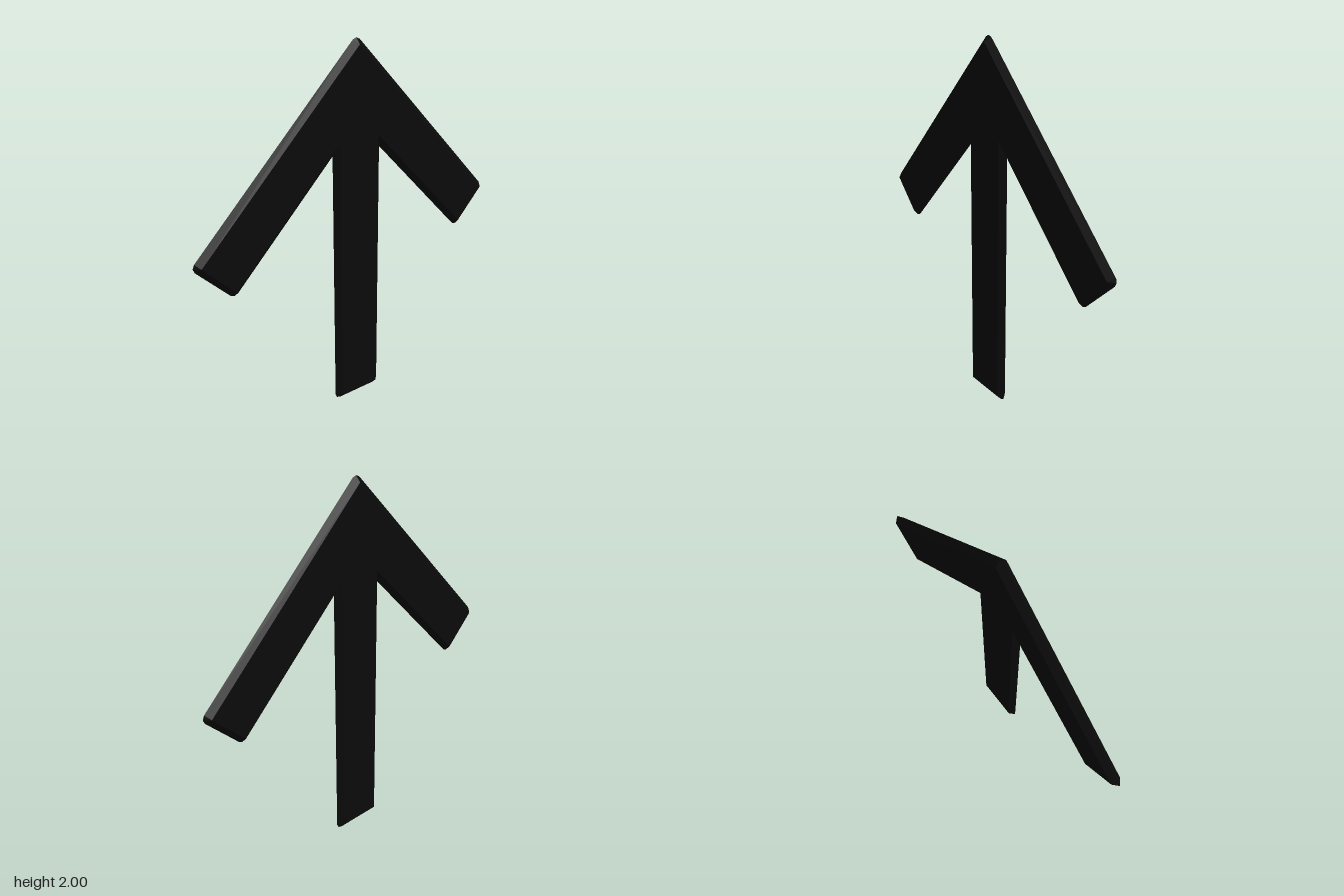
import * as THREE from 'three';

const BEVEL = 0.03; // how far the rim reaches beyond the flat faces
const HALF = 0.028; // half thickness

// Flat face outline, counter-clockwise: right half, then mirrored
function faceOutline() {
  const half = [[0.12, 0.03], [0.12, 1.51], [0.745, 0.885], [0.915, 1.055]];
  const mirrored = half.map(([x, y]) => [-x, y]).reverse();
  return [...half, [0, 1.97], ...mirrored].map(([x, y]) => new THREE.Vector2(x, y));
}

// Pairs of face point and rim point; outward corners get a rounded rim
function rimPairs(face) {
  const pairs = [];
  const n = face.length;
  face.forEach((p, i) => {
    const a = p.clone().sub(face[(i + n - 1) % n]).normalize();
    const b = face[(i + 1) % n].clone().sub(p).normalize();
    const na = new THREE.Vector2(a.y, -a.x);
    const nb = new THREE.Vector2(b.y, -b.x);
    const mid = na.clone().add(nb).normalize();
    const offsets = a.cross(b) > 0
      ? [na, mid, nb]
      : [mid.clone().divideScalar(mid.dot(na))];
    for (const o of offsets) {
      pairs.push({ inner: p, outer: p.clone().addScaledVector(o, BEVEL) });
    }
  });
  return pairs;
}

function arrowGeometry() {
  const face = faceOutline();
  const pairs = rimPairs(face);
  const caps = THREE.ShapeUtils.triangulateShape(face, []);
  const positions = [];

  for (const side of [1, -1]) {
    const at = (p, z) => [p.x, p.y, z * side];
    const tri = (a, b, c) => positions.push(...a, ...(side > 0 ? [...b, ...c] : [...c, ...b]));

    // Flat face
    for (const t of caps) tri(...t.map((k) => at(face[k], HALF)));

    // Sloping edge from the face down to the rim
    pairs.forEach((p, i) => {
      const q = pairs[(i + 1) % pairs.length];
      tri(at(p.outer, 0), at(q.outer, 0), at(q.inner, HALF));
      if (p.inner !== q.inner) tri(at(p.outer, 0), at(q.inner, HALF), at(p.inner, HALF));
    });
  }

  const geometry = new THREE.BufferGeometry();
  geometry.setAttribute('position', new THREE.Float32BufferAttribute(positions, 3));
  geometry.computeVertexNormals();
  return geometry;
}

export function createModel() {
  const group = new THREE.Group();
  group.name = 'upArrow';
  const material = new THREE.MeshStandardMaterial({ color: 0x0a0a0a, flatShading: true });
  const arrow = new THREE.Mesh(arrowGeometry(), material);
  arrow.name = 'bevelledArrow';
  group.add(arrow);
  return group;
}
